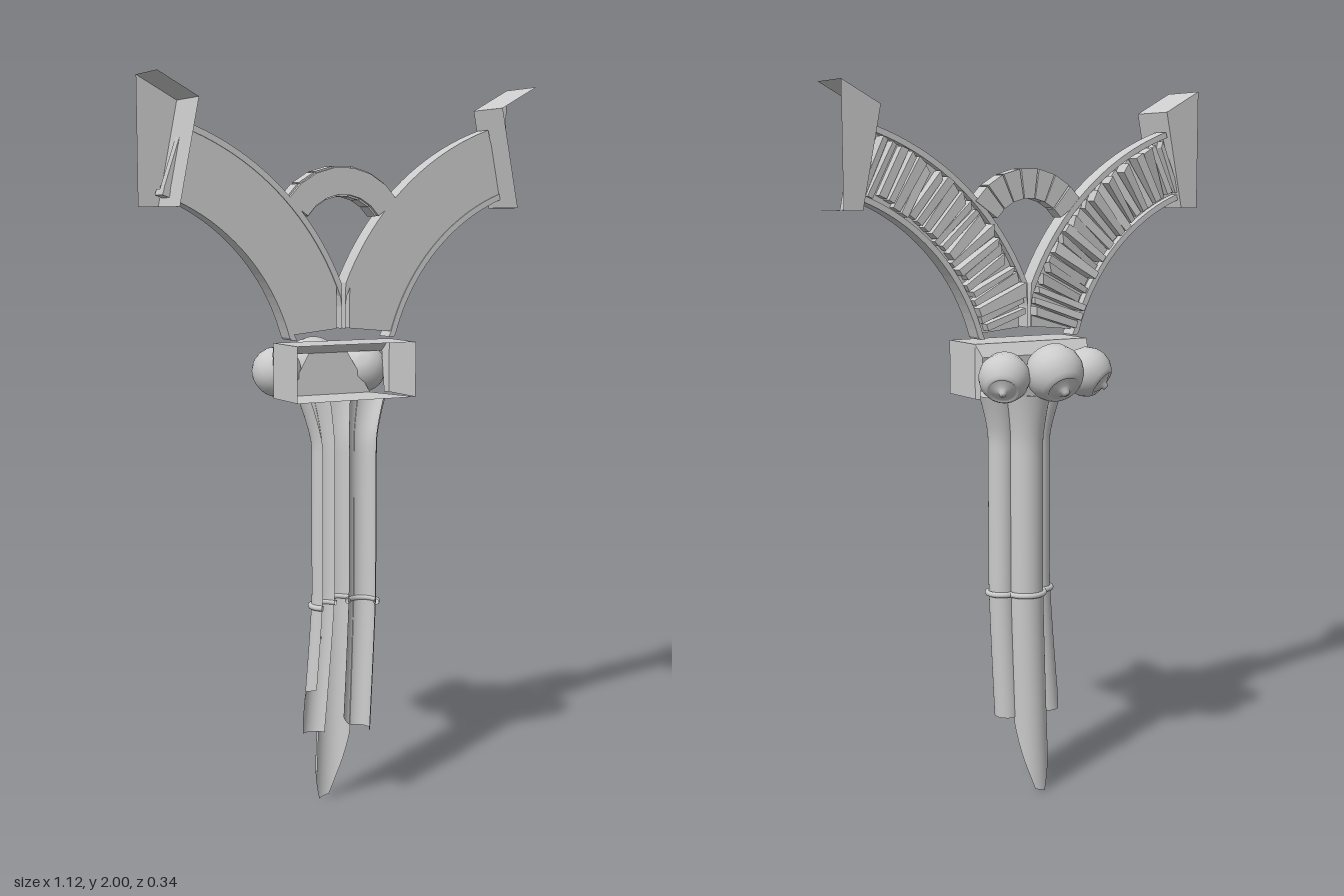
import * as THREE from 'three';

const smooth = new THREE.MeshStandardMaterial({ color: 0xcccccc, side: THREE.DoubleSide });
const flat = new THREE.MeshStandardMaterial({ color: 0xcccccc, side: THREE.DoubleSide, flatShading: true });

function add(parent, geometry, name, material = flat) {
  const mesh = new THREE.Mesh(geometry, material);
  mesh.name = name;
  parent.add(mesh);
  return mesh;
}

let seed = 7;
const rand = () => (seed = (seed * 16807) % 2147483647) / 2147483647;

// open shell made of flat four-cornered panels
function shell(panels) {
  const pos = [];
  for (const [a, b, c, d] of panels) pos.push(...a, ...b, ...c, ...a, ...c, ...d);
  const g = new THREE.BufferGeometry();
  g.setAttribute('position', new THREE.Float32BufferAttribute(pos, 3));
  g.computeVertexNormals();
  return g;
}

// outline swept between two depths
function slab(points, z0, z1) {
  const shape = new THREE.Shape(points.map(([x, y]) => new THREE.Vector2(x, y)));
  return new THREE.ExtrudeGeometry(shape, { depth: z1 - z0, bevelEnabled: false }).translate(0, 0, z0);
}

const sample = (list, u) => {
  const f = u * (list.length - 1), i = Math.min(Math.floor(f), list.length - 2);
  return THREE.MathUtils.lerp(list[i], list[i + 1], f - i);
};

// half-round shaft: flares into the capital, drifts sideways and breaks off below
function shaftGeometry({ x, z, r, from, to, ends, drift }) {
  const g = new THREE.PlaneGeometry(1, 1, 20, 40), p = g.attributes.position;
  for (let i = 0; i < p.count; i++) {
    const u = p.getX(i) + 0.5, v = p.getY(i) + 0.5;
    const a = THREE.MathUtils.lerp(from, to, u);
    const y = THREE.MathUtils.lerp(sample(ends, u), 1.16, v);
    const top = Math.max(0, (y - 1.03) / 0.13), low = Math.max(0, (0.62 - y) / 0.62);
    p.setXYZ(i, (x + r * Math.cos(a)) * (1 + 0.38 * top ** 1.4) - drift * low ** 1.2,
      y, z - r * Math.sin(a) - 0.012 * top);
  }
  g.computeVertexNormals();
  return g;
}

// wedge of a ring, used for ribs and stones
const arcPoint = (c, r, a) => [c[0] + r * Math.cos(a), c[1] + r * Math.sin(a)];
const wedge = (c, r0, r1, a0, a1) =>
  [arcPoint(c, r0, a0), arcPoint(c, r1, a0), arcPoint(c, r1, a1), arcPoint(c, r0, a1)];

const RIB = [0.7, 1.17];
function ribOutline(r0, r1, a0, a1, minX, minY) {
  const pts = [];
  for (let i = 0; i <= 24; i++) pts.push(arcPoint(RIB, r1, a0 + (a1 - a0) * i / 24));
  for (let i = 24; i >= 0; i--) pts.push(arcPoint(RIB, r0, a0 + (a1 - a0) * i / 24));
  return pts.map(([x, y]) => [Math.max(x, minX), Math.max(y, minY)]);
}

function buildRib(side) {
  const group = new THREE.Group();
  group.name = side > 0 ? 'leftRib' : 'rightRib';
  const mirror = (pts) => pts.map(([x, y]) => [x * side, y]);
  const a0 = 1.9, a1 = 2.9;
  add(group, slab(mirror(ribOutline(0.575, 0.74, a0, a1, 0.02, 1.335)), 0.065, 0.092), 'ribCore');
  // raised edges along both curves
  add(group, slab(mirror(ribOutline(0.56, 0.576, a0, a1, 0.005, 1.32)), 0.042, 0.095), 'lowerEdge');
  add(group, slab(mirror(ribOutline(0.739, 0.755, a0, a1, 0.005, 1.32)), 0.042, 0.095), 'upperEdge');
  // uneven stones on the exposed face
  const count = 22;
  for (let i = 0; i < count; i++) {
    const s = a0 + 0.015 + (2.84 - a0) * i / count, w = 0.026 + rand() * 0.015;
    const t = (rand() - 0.5) * 0.025;
    const pts = wedge(RIB, 0.578 + rand() * 0.015, 0.715 + rand() * 0.022, s, s + w);
    pts[1] = arcPoint(RIB, 0.735, s + t);
    const clipped = pts.map(([x, y]) => [Math.max(x, 0.015), Math.max(y, 1.33)]);
    const g = slab(mirror(clipped), 0.022 + rand() * 0.024, 0.068);
    // tilt the outer face of each stone
    const p = g.attributes.position, lean = (rand() - 0.5) * 0.025;
    for (let k = 0; k < p.count; k++) {
      if (p.getZ(k) < 0.06) {
        const d = Math.hypot(p.getX(k) * side - RIB[0], p.getY(k) - RIB[1]);
        p.setZ(k, p.getZ(k) + lean * (d - 0.65) / 0.08);
      }
    }
    g.computeVertexNormals();
    add(group, g, 'ribStone');
  }
  return group;
}

// end block, open toward the wall and at its outer end
function endBlock(side) {
  const outline = [[0.56, 2], [0.45, 1.94], [0.505, 1.67], [0.56, 1.67]].map(([x, y]) => [x * side, y]);
  const back = outline.map((p) => [...p, 0.03]), front = outline.map((p) => [...p, 0.175]);
  const panels = [back];
  for (let i = 0; i < 3; i++) panels.push([back[i], back[i + 1], front[i + 1], front[i]]);
  return shell(panels);
}

// round bud with a lipped mouth and a small knob
function budGeometry(r) {
  const profile = [[0, -0.95], [0.4, -0.88], [0.75, -0.64], [0.96, -0.25], [1, 0.1], [0.92, 0.42],
    [0.74, 0.68], [0.62, 0.78], [0.55, 0.8], [0.5, 0.74], [0.3, 0.86], [0.16, 0.9], [0.13, 1.02], [0, 1.06]];
  return new THREE.LatheGeometry(profile.map(([x, y]) => new THREE.Vector2(x * r, y * r)), 32);
}

export function createModel() {
  const model = new THREE.Group();
  model.name = 'brokenVaultPier';

  // shafts and the band around them
  const shafts = [
    { name: 'middleShaft', x: 0, z: 0.065, r: 0.05, from: Math.PI, to: 0, ends: [0.1, 0.1, 0, 0.01, 0.1, 0.2], drift: 0.02 },
    { name: 'leftShaft', x: 0.058, z: 0.1, r: 0.038, from: -0.9, to: 2.8, ends: [0.22, 0.22, 0.22, 0.26], drift: 0.03 },
    { name: 'rightShaft', x: -0.058, z: 0.1, r: 0.038, from: Math.PI + 0.9, to: Math.PI - 2.8, ends: [0.36, 0.35, 0.22, 0.22, 0.22], drift: 0.055 }
  ];
  for (const s of shafts) {
    add(model, shaftGeometry(s), s.name, smooth);
    const path = [];
    for (let i = 0; i <= 12; i++) {
      const a = THREE.MathUtils.lerp(s.from, s.to, i / 12), r = s.r + 0.003;
      path.push(new THREE.Vector3(s.x + r * Math.cos(a), 0.588, s.z - r * Math.sin(a)));
    }
    add(model, new THREE.TubeGeometry(new THREE.CatmullRomCurve3(path), 30, 0.008, 8), 'shaftBand', smooth);
  }

  // capital, open toward the wall
  const w = 0.18, y0 = 1.16, y1 = 1.31, ym = 1.275, zf = 0.175;
  const panels = [
    [[-w, y1, zf], [w, y1, zf], [w, y1, 0.03], [-w, y1, 0.03]],
    [[-w, y0, zf], [w, y0, zf], [0.13, y0, 0.01], [-0.13, y0, 0.01]],
    [[-w, y1, 0.03], [w, y1, 0.03], [0.17, ym, 0.005], [-0.17, ym, 0.005]],
    [[-0.06, ym, 0.005], [0.06, ym, 0.005], [0.13, y0, 0.01], [-0.13, y0, 0.01]]
  ];
  for (const s of [-1, 1]) {
    panels.push([[s * w, y0, zf], [s * w, y1, zf], [s * w, y1, 0.03], [s * w, y0, 0.03]]);
    panels.push([[s * w, y1, 0.03], [s * 0.17, ym, 0.005], [s * 0.17, y0, 0.02], [s * w, y0, 0.03]]);
  }
  add(model, shell(panels), 'capital');

  // three buds on the capital, mouths turned outward and down
  for (const [x, y, z, r] of [[0, 1.235, -0.088, 0.08], [0.132, 1.225, -0.045, 0.07], [-0.132, 1.225, -0.045, 0.07]]) {
    const bud = add(model, budGeometry(r), 'bud', smooth);
    bud.position.set(x, y, z);
    const dir = new THREE.Vector3(x * 4, -0.65, -0.75).normalize();
    bud.quaternion.setFromUnitVectors(new THREE.Vector3(0, 1, 0), dir);
  }

  // spreading ribs with their end blocks
  for (const side of [-1, 1]) {
    model.add(buildRib(side));
    add(model, endBlock(side), side > 0 ? 'leftEndBlock' : 'rightEndBlock');
  }

  // small arch of stones between the ribs
  const centre = [0, 1.575], n = 7, start = 0.6, step = (Math.PI - 1.2) / n;
  for (let i = 0; i < n; i++) {
    const a = start + i * step;
    add(model, slab(wedge(centre, 0.125, 0.206, a + 0.012, a + step - 0.012), 0.035 + rand() * 0.012, 0.085), 'archStone');
    add(model, slab(wedge(centre, 0.13, 0.202, a, a + step), 0.055, 0.095), 'archBacking');
  }
  return model;
}
